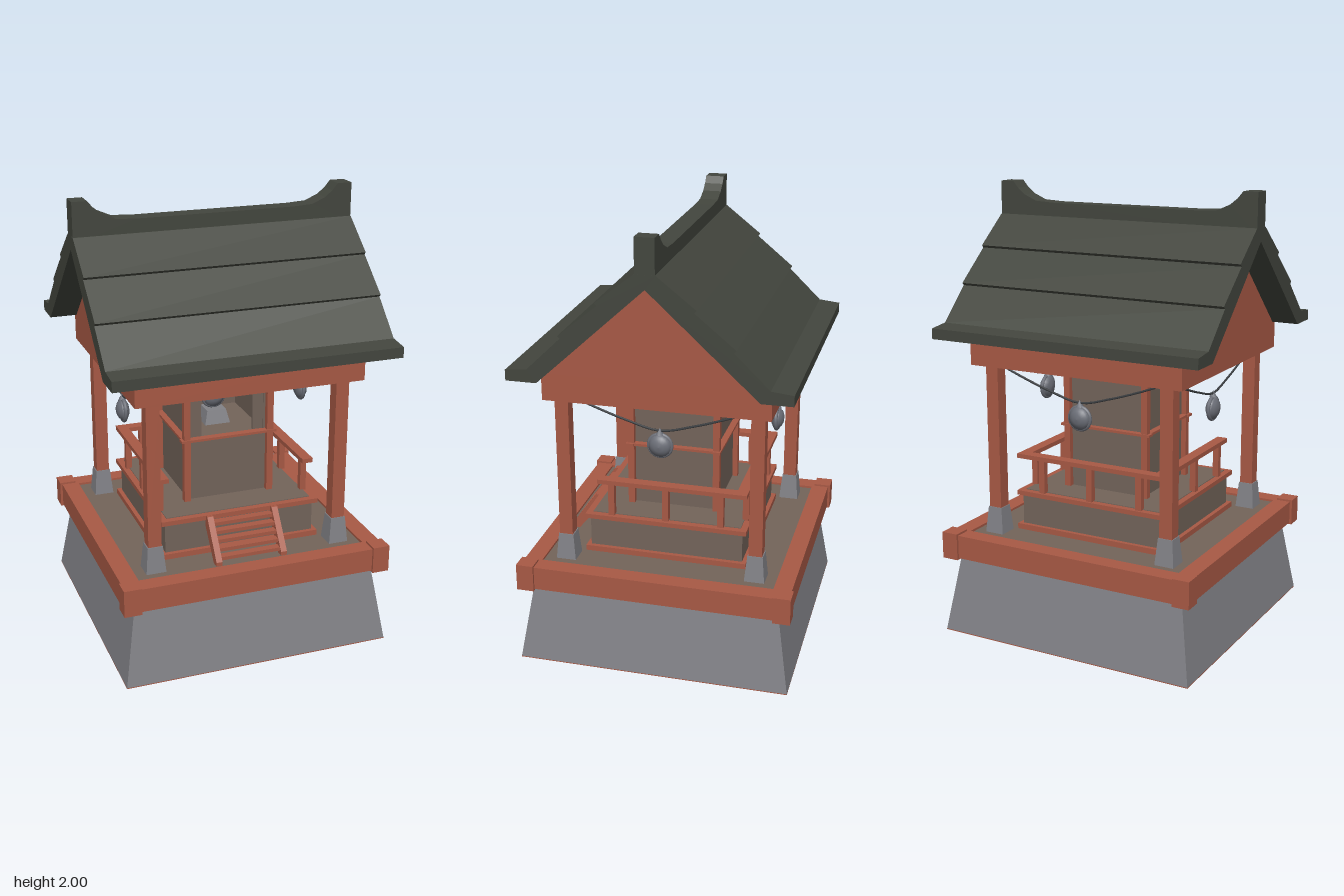
import * as THREE from 'three';

const mat = (name, color, side = THREE.FrontSide) => {
  const m = new THREE.MeshStandardMaterial({ color, side });
  m.name = name;
  return m;
};

export function createModel() {
  const red = mat('red timber', 0xa85945);
  const wood = mat('brown wood', 0x73645a);
  const stone = mat('grey stone', 0x828287);
  const tile = mat('dark roof tile', 0x43463e);
  const metal = mat('bell metal', 0x6c6f78);
  const cord = mat('dark rope', 0x3c3f42);
  const root = new THREE.Group();
  root.name = 'shrine';

  const add = (name, geo, material, x = 0, y = 0, z = 0, parent = root) => {
    const m = new THREE.Mesh(geo, material);
    m.name = name;
    m.position.set(x, y, z);
    parent.add(m);
    return m;
  };
  // box given by centre x/z and bottom/top heights
  const box = (name, material, w, d, y0, y1, x = 0, z = 0, parent = root) =>
    add(name, new THREE.BoxGeometry(w, y1 - y0, d), material, x, (y0 + y1) / 2, z, parent);
  // square block that narrows towards the top
  const frustum = (name, material, w0, w1, y0, y1, x = 0, z = 0) => {
    const g = new THREE.CylinderGeometry(w1 / Math.SQRT2, w0 / Math.SQRT2, y1 - y0, 4)
      .rotateY(Math.PI / 4).toNonIndexed();
    g.computeVertexNormals();
    return add(name, g, material, x, (y0 + y1) / 2, z);
  };
  const polygon = (pts) => new THREE.Shape(pts.map((p) => new THREE.Vector2(p[0], p[1])));
  const extrude = (shape, depth) =>
    new THREE.ExtrudeGeometry(shape, { depth, bevelEnabled: false }).translate(0, 0, -depth / 2);
  const signs = [-1, 1];

  // stone base with a timber underside
  box('baseUnderside', red, 1.226, 1.226, 0, 0.004);
  frustum('stoneBase', stone, 1.226, 1.11, 0.004, 0.362);

  // deck framed by beams with raised corner joints
  box('deck', wood, 1.12, 1.12, 0.362, 0.457);
  for (const s of signs) {
    box('deckBeamFront', red, 1.21, 0.08, 0.36, 0.467, 0, s * 0.565);
    box('deckBeamSide', red, 0.08, 1.1, 0.36, 0.467, s * 0.565, 0);
    for (const t of signs) {
      box('deckCorner', red, 0.078, 0.078, 0.353, 0.476, s * 0.577, t * 0.577);
      // main posts on stone footings
      frustum('footing', stone, 0.09, 0.068, 0.457, 0.577, s * 0.43, t * 0.43);
      box('mainPost', red, 0.06, 0.06, 0.57, 1.24, s * 0.43, t * 0.43);
    }
  }

  // roof frame and gables
  box('roofFrame', red, 1.03, 0.99, 1.235, 1.36);
  const gable = polygon([[-0.47, 1.355], [0.47, 1.355], [0, 1.79]]);
  add('gable', extrude(gable, 1.03).rotateY(Math.PI / 2), red);

  // stepped roof
  const outer = [[0.605, 1.358], [0.605, 1.405], [0.51, 1.415], [0.36, 1.56],
    [0.37, 1.571], [0.2, 1.71], [0.21, 1.721], [0.045, 1.85]];
  const mirrored = (pts) => pts.map(([x, y]) => [-x, y]).reverse();
  const roof = polygon([...outer, ...mirrored(outer), [-0.47, 1.358], [0, 1.79], [0.47, 1.358]]);
  add('roof', extrude(roof, 1.275).rotateY(Math.PI / 2), tile);

  // ridge with upswept ends
  const ridgeTop = [[0.637, 1.82], [0.637, 2], [0.57, 2], [0.545, 1.97], [0.51, 1.942],
    [0.45, 1.916], [0.36, 1.911]];
  add('ridge', extrude(polygon([...ridgeTop, ...mirrored(ridgeTop)]), 0.084), tile);

  // inner plinth
  box('plinthFoot', red, 0.74, 0.74, 0.455, 0.482);
  box('plinth', wood, 0.7, 0.7, 0.48, 0.622);
  box('plinthEdge', red, 0.74, 0.74, 0.62, 0.641);
  box('plinthFloor', wood, 0.68, 0.68, 0.64, 0.644);

  // railing on both sides and the back
  for (const s of signs) {
    box('sideRail', red, 0.05, 0.68, 0.795, 0.815, s * 0.342, -0.03);
    for (const z of [0.25, 0, -0.25]) box('railPost', red, 0.028, 0.028, 0.64, 0.797, s * 0.342, z);
  }
  box('backRail', red, 0.634, 0.05, 0.795, 0.815, 0, -0.345);
  for (const x of [-0.245, 0, 0.245]) box('railPost', red, 0.028, 0.028, 0.64, 0.797, x, -0.345);

  // stairs
  const stringer = polygon([[0.36, 0.64], [0.385, 0.64], [0.505, 0.475], [0.505, 0.457],
    [0.47, 0.457], [0.36, 0.59]]);
  for (const s of signs) {
    add('stairStringer', extrude(stringer, 0.028).rotateY(-Math.PI / 2), red, s * 0.152);
  }
  for (let i = 0; i < 5; i++) {
    box('stairTread', red, 0.28, 0.035, 0.476 + i * 0.031, 0.492 + i * 0.031, 0, 0.475 - i * 0.023);
  }

  // sanctuary: corner posts, walls, moulding and top beams
  const hall = new THREE.Group();
  hall.name = 'sanctuary';
  root.add(hall);
  for (const s of signs) {
    for (const t of signs) box('hallPost', red, 0.03, 0.03, 0.64, 1.236, s * 0.197, t * 0.197, hall);
    box('hallSideWall', wood, 0.016, 0.37, 0.64, 1.18, s * 0.18, 0, hall);
    box('doorJamb', wood, 0.06, 0.012, 0.94, 1.18, s * 0.152, 0.176, hall);
    box('hallBeamSide', red, 0.03, 0.37, 1.172, 1.236, s * 0.192, 0, hall);
    box('hallBeamFront', red, 0.37, 0.03, 1.172, 1.236, 0, s * 0.192, hall);
    box('mouldingFront', red, 0.45, 0.035, 0.93, 0.941, 0, s * 0.2, hall);
    box('mouldingSide', red, 0.035, 0.37, 0.93, 0.941, s * 0.2, 0, hall);
  }
  box('hallBackWall', wood, 0.37, 0.016, 0.64, 1.18, 0, -0.18, hall);
  box('hallFrontWall', wood, 0.37, 0.016, 0.64, 0.935, 0, 0.18, hall);
  box('hallFloor', wood, 0.36, 0.36, 0.92, 0.937, 0, 0, hall);
  // pointed valance over the opening
  const valance = polygon([[-0.17, 1.2], [-0.12, 1.142], [-0.04, 1.165], [0.04, 1.165],
    [0.12, 1.142], [0.17, 1.2]]);
  add('valance', extrude(valance, 0.008), red, 0, 0, 0.165, hall);

  // round gong facing +z, with rim, boss and hanging loop
  const gong = (name) => {
    const g = new THREE.Group();
    g.name = name;
    const profile = [[0, -0.025], [0.03, -0.022], [0.05, -0.01], [0.05, 0.01], [0.04, 0.014],
      [0.037, 0.02], [0.02, 0.028], [0, 0.03]].map((p) => new THREE.Vector2(p[0], p[1]));
    add('gongBody', new THREE.LatheGeometry(profile, 20).rotateX(Math.PI / 2), metal, 0, 0, 0, g);
    add('gongRim', new THREE.TorusGeometry(0.05, 0.009, 8, 24), metal, 0, 0, 0, g);
    add('gongLoop', new THREE.ConeGeometry(0.018, 0.03, 8), metal, 0, 0.066, 0, g);
    return g;
  };

  // mirror on its stand inside the sanctuary
  frustum('mirrorStand', stone, 0.12, 0.09, 0.937, 1.0, 0, 0);
  const mirror = gong('mirror');
  mirror.position.set(0, 1.055, 0);
  root.add(mirror);

  // gongs slung on ropes along the two sides and the back
  for (const turn of [Math.PI / 2, Math.PI, -Math.PI / 2]) {
    const side = new THREE.Group();
    side.name = 'hangingGong';
    side.rotation.y = turn;
    const curve = new THREE.CatmullRomCurve3([[-0.41, 1.238], [-0.3, 1.195], [-0.15, 1.145],
      [0, 1.11], [0.15, 1.145], [0.3, 1.195], [0.41, 1.238]]
      .map(([x, y]) => new THREE.Vector3(x, y, 0.43)));
    add('rope', new THREE.TubeGeometry(curve, 24, 0.005, 6), cord, 0, 0, 0, side);
    const g = gong('gong');
    g.position.set(0, 1.042, 0.43);
    side.add(g);
    root.add(side);
  }
  return root;
}
